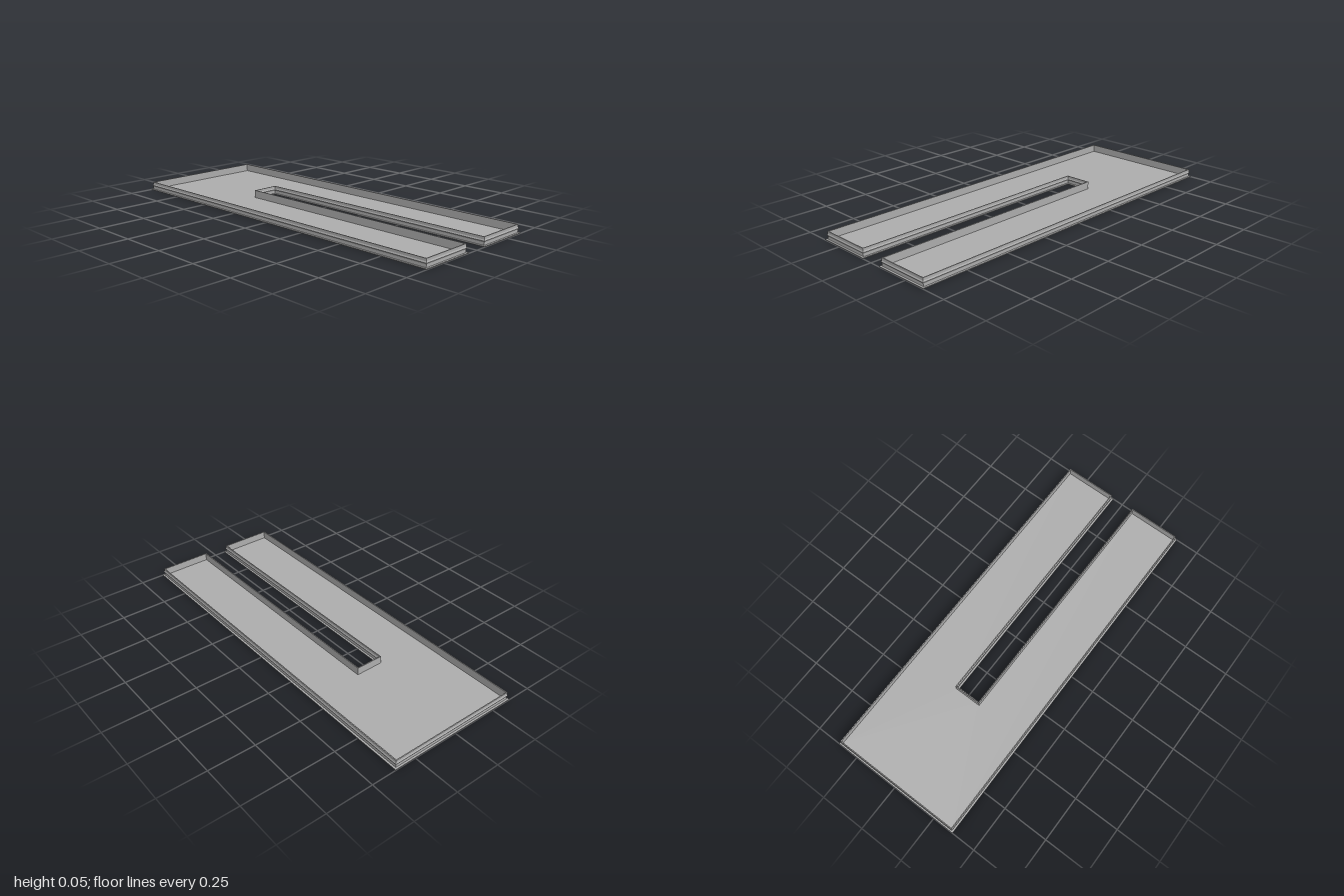
import * as THREE from 'three';

// Wall outline corners: x, z, and the outward direction of each corner
const corners = [
  [-0.358, 0.99, -1, 1], [-0.071, 0.99, 1, 1], [-0.071, -0.41, 1, 1], [0.071, -0.41, -1, 1],
  [0.071, 0.99, -1, 1], [0.358, 0.99, 1, 1], [0.358, -0.99, 1, -1], [-0.358, -0.99, -1, -1],
];
const floorTop = 0.004;

// Outline moved outward by a distance, with mitred corners
const outline = (d) => corners.map(([x, z, dx, dz]) => [x + dx * d, z + dz * d]);

// Sweep a closed profile of [outward offset, height] around the outline
function sweep(profile) {
  const rings = profile.map(([d, y]) => outline(d).map(([x, z]) => [x, y, z]));
  const positions = [];
  rings.forEach((ring, k) => {
    const next = rings[(k + 1) % rings.length];
    ring.forEach((a, i) => {
      const j = (i + 1) % ring.length;
      const b = ring[j], c = next[j], d = next[i];
      positions.push(...a, ...b, ...c, ...a, ...c, ...d);
    });
  });
  const geometry = new THREE.BufferGeometry();
  geometry.setAttribute('position', new THREE.Float32BufferAttribute(positions, 3));
  geometry.computeVertexNormals();
  return geometry;
}

export function createModel() {
  const group = new THREE.Group();
  group.name = 'slottedTray';
  const grey = new THREE.MeshStandardMaterial({ color: 0xb0b0b0 });
  grey.name = 'grey';

  // Floor plate, projecting past the wall as a narrow flange
  const shape = new THREE.Shape(outline(0.01).map(([x, z]) => new THREE.Vector2(x, -z)));
  const plate = new THREE.ExtrudeGeometry(shape, { depth: floorTop, bevelEnabled: false });
  plate.rotateX(-Math.PI / 2);
  const floor = new THREE.Mesh(plate, grey);
  floor.name = 'floorPlate';
  group.add(floor);

  // Thin upright wall with a small ridge along its outside
  const wall = new THREE.Mesh(sweep([
    [0, floorTop], [0, 0.018], [0.003, 0.025], [0, 0.032], [0, 0.045],
    [-0.005, 0.045], [-0.005, floorTop],
  ]), grey);
  wall.name = 'ridgedWall';
  group.add(wall);

  return group;
}
